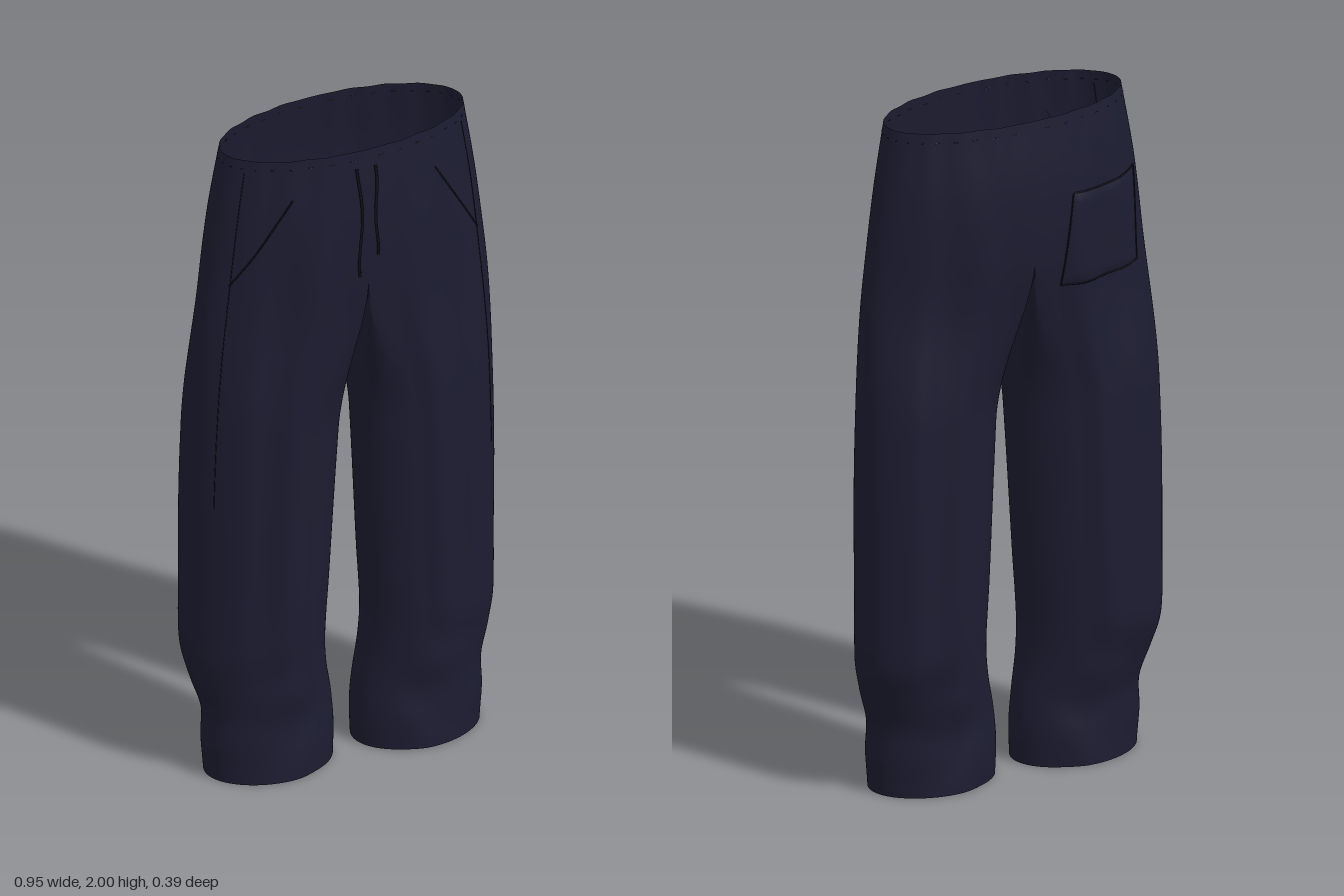
import * as THREE from 'three';
import { mergeVertices, mergeGeometries } from 'three/addons/utils/BufferGeometryUtils.js';

const cloth = new THREE.MeshStandardMaterial({ color: 0x1c1c31, side: THREE.DoubleSide });
cloth.name = 'navyCloth';
const thread = new THREE.MeshStandardMaterial({ color: 0x0f0f1a });
thread.name = 'darkThread';

const { smoothstep, lerp } = THREE.MathUtils;

// Silhouette by height: [y, inner x, outer x, front z, back z]
const PROFILE = [
  [0, 0.037, 0.418, 0.131, -0.138], [0.1, 0.035, 0.425, 0.135, -0.144],
  [0.2, 0.042, 0.424, 0.124, -0.134], [0.3, 0.06, 0.452, 0.14, -0.156],
  [0.4, 0.067, 0.472, 0.15, -0.17], [0.6, 0.056, 0.474, 0.156, -0.176],
  [0.9, 0.04, 0.474, 0.162, -0.176], [1.2, 0.022, 0.465, 0.164, -0.172],
  [1.4, 0.01, 0.452, 0.166, -0.176], [1.6, 0, 0.43, 0.175, -0.192],
  [1.8, 0, 0.404, 0.174, -0.192], [2, 0, 0.37, 0.16, -0.17],
];

// Smooth interpolation through the silhouette
function profile(y) {
  let i = 0;
  while (i < PROFILE.length - 2 && PROFILE[i + 1][0] < y) i++;
  const p = PROFILE[i], q = PROFILE[i + 1];
  const o = PROFILE[i - 1] ?? p, r = PROFILE[i + 2] ?? q;
  const h = q[0] - p[0], t = (y - p[0]) / h;
  return p.map((v, k) => {
    const m0 = (h * (q[k] - o[k])) / (q[0] - o[0]), m1 = (h * (r[k] - v)) / (r[0] - p[0]);
    return v + t * (m0 + t * (3 * (q[k] - v) - 2 * m0 - m1 + t * (2 * (v - q[k]) + m0 + m1)));
  });
}

const CROTCH = 1.59;
const SEAM = 0.6;

// Point on the left half: u runs front to back, around the outside or the inside.
// w blends the separate leg (0) into the joined hips (1).
function point(u, y, w, inside) {
  const [, xi, xo, zf, zb] = profile(y);
  const cz = (zf + zb) / 2, b = (zf - zb) / 2;
  const theta = inside ? -SEAM - u * (Math.PI - 2 * SEAM) : -SEAM + u * (Math.PI + 2 * SEAM);
  const legX = (xi + xo) / 2 + ((xo - xi) / 2) * Math.sin(theta);
  const hipX = inside ? 0 : xo * Math.sin(Math.PI * u);
  const x = lerp(legX, hipX, w);
  let z = b * lerp(Math.cos(theta), Math.cos(Math.PI * u), w);
  if (!inside) {
    // Hanging folds, waist gathers and bunching at the ankle
    const near = Math.min(u, 1 - u);
    const out = Math.cos(Math.PI * u) * smoothstep(near, 0, 0.12);
    const mid = smoothstep(y, 0.2, 0.7) * (1 - smoothstep(y, 1.5, 1.95))
      * (1 - 0.7 * smoothstep(near, 0.18, 0.35));
    z += out * 0.009 * mid * Math.cos(38 * (near - 0.115) + Math.sin(y * 2) * 0.4);
    z += out * 0.003 * smoothstep(y, 1.7, 1.95) * Math.cos(u * 62);
    z += out * 0.007 * (1 - smoothstep(y, 0.3, 0.5)) * Math.sin(y * 24 + x * 9);
  }
  // Outer side of the leg sits slightly further back
  const tilt = smoothstep(y, 0.15, 0.45) * (1 - smoothstep(y, 1.4, 1.9));
  z += cz - 0.11 * (x - 0.2) * tilt * (1 - w);
  return new THREE.Vector3(x, y, z);
}
const outer = (u, y) => point(u, y, smoothstep(y / CROTCH, 0.7, 1), false);
function inner(v, k) {
  const top = CROTCH - 0.09 * Math.sin(Math.PI * v);
  return point(v, k * top, smoothstep(k, 0.7, 1), true);
}

// Sheet of points; flip reverses the facing
function sheet(nu, nv, fn, flip) {
  const pos = [], idx = [];
  for (let j = 0; j <= nv; j++)
    for (let i = 0; i <= nu; i++) pos.push(...fn(i / nu, j / nv).toArray());
  for (let j = 0; j < nv; j++)
    for (let i = 0; i < nu; i++) {
      const a = j * (nu + 1) + i, b = a + 1, c = a + nu + 1, d = c + 1;
      idx.push(...(flip ? [a, c, b, b, c, d] : [a, b, c, b, d, c]));
    }
  const g = new THREE.BufferGeometry();
  g.setAttribute('position', new THREE.Float32BufferAttribute(pos, 3));
  g.setIndex(idx);
  return g;
}

// Point on the outside at a given x, pushed off the cloth
function onCloth(x, y, back = false, lift = 0.002) {
  let lo = 0, hi = 0.5;
  for (let i = 0; i < 24; i++) {
    const m = (lo + hi) / 2;
    if (outer(back ? 1 - m : m, y).x < Math.abs(x)) lo = m; else hi = m;
  }
  const p = outer(back ? 1 - lo : lo, y);
  p.x = x;
  p.z += back ? -lift : lift;
  return p;
}

function tube(points, radius, segments = 40) {
  return new THREE.TubeGeometry(new THREE.CatmullRomCurve3(points), segments, radius, 6);
}
const steps = (n, fn) => Array.from({ length: n + 1 }, (_, i) => fn(i / n));

export function createModel() {
  const group = new THREE.Group();
  const add = (name, geometry, material) => {
    const mesh = new THREE.Mesh(geometry, material);
    mesh.name = name;
    group.add(mesh);
  };

  // Trousers: outside and inside sheets, mirrored and welded
  const sheets = [];
  for (const side of [1, -1]) {
    const place = (p) => { p.x *= side; return p; };
    // Rows include the crotch height so the sheets meet exactly at the seam
    const legRows = (u, v) => place(outer(u, v * CROTCH));
    const hipRows = (u, v) => place(outer(u, lerp(CROTCH, 2, v)));
    sheets.push(sheet(96, 80, legRows, side < 0), sheet(96, 20, hipRows, side < 0));
    sheets.push(sheet(32, 80, (u, v) => place(inner(u, v)), side > 0));
  }
  const body = mergeVertices(mergeGeometries(sheets), 1e-4);
  body.computeVertexNormals();
  add('trousers', body, cloth);

  for (const side of [1, -1]) {
    const label = side > 0 ? 'left' : 'right';
    const onSide = (u, y) => {
      const p = outer(u, y);
      p.x *= side;
      return p;
    };
    // Slanted front pocket openings
    add(label + 'PocketOpening', tube(steps(10, (t) =>
      onCloth(side * lerp(0.22, 0.385, t), lerp(1.88, 1.61, t))), 0.0025), thread);
    // Side seams
    add(label + 'SideSeam', tube(steps(40, (t) =>
      onSide(0.35, lerp(1.96, 0.9, t))), 0.0013, 80), thread);
    // Waistband stitches
    const stitches = steps(17, (i) => tube(steps(2, (t) =>
      onSide(0.03 + i * 0.92 + t * 0.014, 1.972)), 0.0013, 3));
    add(label + 'WaistStitches', mergeGeometries(stitches), thread);
  }

  // Drawstrings
  for (const [name, x, end] of [['rightDrawstring', -0.03, 1.61], ['leftDrawstring', 0.02, 1.67]]) {
    add(name, tube(steps(8, (t) => {
      const p = onCloth(x, lerp(1.95, end, t), false, 0.004 + 0.01 * Math.sin(Math.PI * t * 0.8));
      p.x += 0.005 * Math.sin(t * 7 + x * 40);
      return p;
    }), 0.0045), thread);
  }

  // Single patch pocket on the right of the back, slightly skewed
  const patch = (u, v, lift) => onCloth(
    lerp(lerp(-0.09, -0.125, v), -0.372, u),
    lerp(1.49, 1.765, v) - 0.008 * Math.sin(Math.PI * u), true, lift);
  const pocket = sheet(24, 20, (u, v) => {
    const edge = Math.min(u, 1 - u, v, 1 - v);
    return patch(u, v, 0.001 + 0.007 * smoothstep(edge, 0, 0.08));
  }, false);
  pocket.computeVertexNormals();
  add('backPocket', pocket, cloth);

  // Pocket edging
  const sides = [(t) => [t, 0], (t) => [t, 1], (t) => [0, t], (t) => [1, t]];
  add('backPocketSeam', mergeGeometries(sides.map((f) =>
    tube(steps(10, (t) => patch(...f(t), 0.002)), 0.0025))), thread);

  return group;
}
